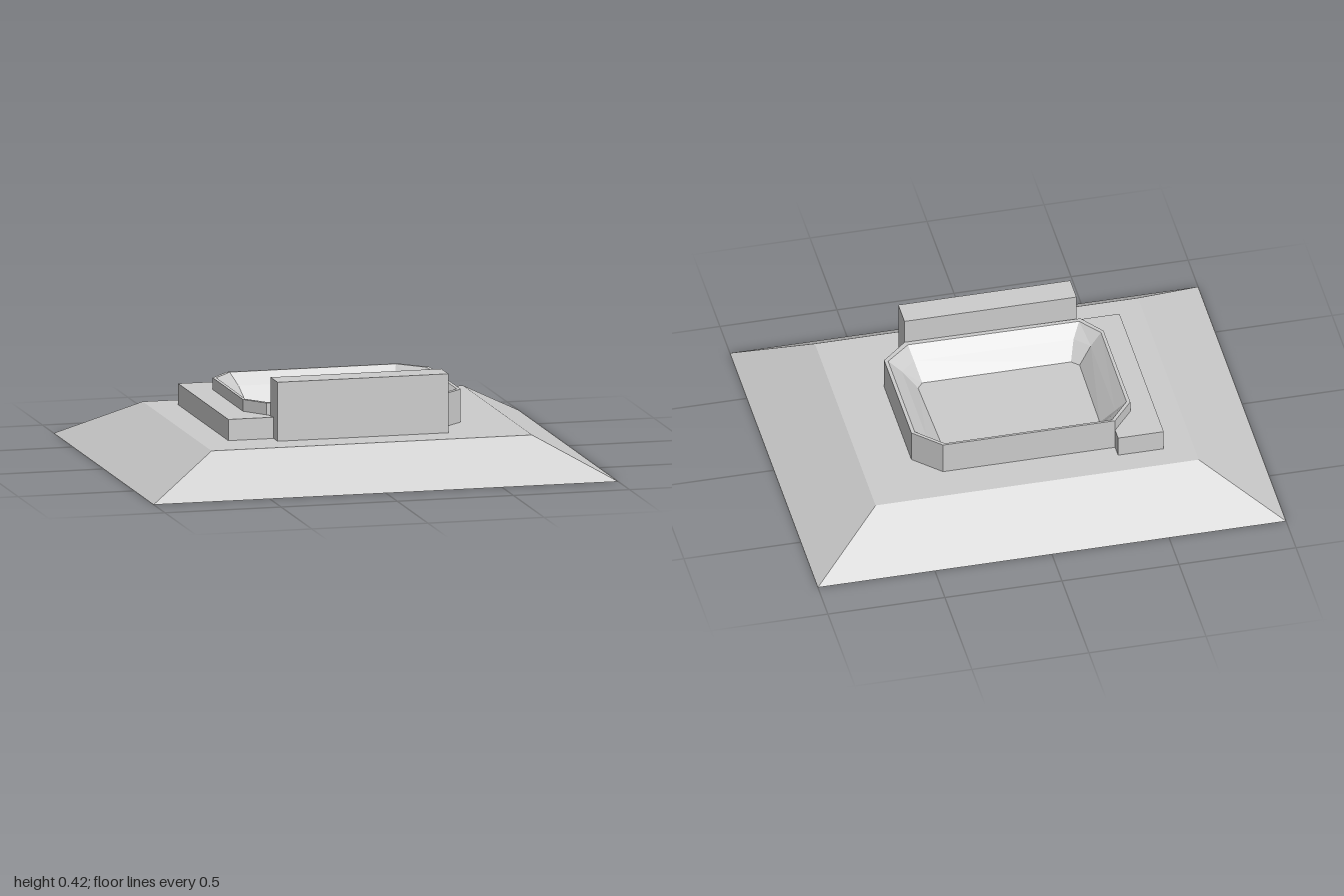
import * as THREE from 'three';

const stone = new THREE.MeshStandardMaterial({ color: 0xcccccc });
stone.name = 'pale stone';

// Joins matching [x, z] outlines (clockwise seen from above) at rising heights,
// then closes the last one with a flat fan, and the first one if asked.
function loft(name, rings, closeStart) {
  const pos = [];
  const tri = (a, b, c) => pos.push(...a, ...b, ...c);
  const loops = rings.map(([y, pts]) => pts.map(([x, z]) => [x, y, z]));
  const n = loops[0].length;
  for (let r = 0; r < loops.length - 1; r++) {
    const lo = loops[r], hi = loops[r + 1];
    for (let i = 0; i < n; i++) {
      const j = (i + 1) % n;
      tri(lo[i], hi[j], lo[j]);
      tri(lo[i], hi[i], hi[j]);
    }
  }
  const end = loops[loops.length - 1];
  for (let i = 1; i < n - 1; i++) {
    tri(end[0], end[i + 1], end[i]);
    if (closeStart) tri(loops[0][0], loops[0][i], loops[0][i + 1]);
  }
  const geo = new THREE.BufferGeometry();
  geo.setAttribute('position', new THREE.Float32BufferAttribute(pos, 3));
  geo.computeVertexNormals();
  const mesh = new THREE.Mesh(geo, stone);
  mesh.name = name;
  return mesh;
}

const rect = (x0, x1, z0, z1) => [[x0, z0], [x1, z0], [x1, z1], [x0, z1]];

export function createModel() {
  const model = new THREE.Group();
  model.name = 'basinOnMound';
  const ground = 0.17;

  // Sloping mound with a flat top
  model.add(loft('mound', [
    [0, rect(-1, 1, -0.815, 0.815)],
    [ground, rect(-0.69, 0.69, -0.54, 0.585)],
  ], true));

  // Eight-sided basin: outer wall, thin rim, two inner slopes and floor
  const outer = [[-0.46, -0.27], [-0.37, -0.38], [0.365, -0.38], [0.475, -0.27],
    [0.475, 0.235], [0.365, 0.335], [-0.385, 0.328], [-0.46, 0.225]];
  const rim = [[-0.445, -0.265], [-0.36, -0.37], [0.355, -0.37], [0.46, -0.265],
    [0.46, 0.225], [0.355, 0.315], [-0.375, 0.31], [-0.447, 0.215]];
  const ledge = [[-0.4, -0.25], [-0.335, -0.32], [0.34, -0.32], [0.405, -0.25],
    [0.405, 0.205], [0.34, 0.265], [-0.34, 0.26], [-0.4, 0.2]];
  const floor = [[-0.34, -0.225], [-0.315, -0.255], [0.315, -0.255], [0.335, -0.225],
    [0.345, 0.17], [0.32, 0.2], [-0.315, 0.2], [-0.345, 0.17]];
  model.add(loft('basin', [
    [ground, outer], [0.31, outer], [0.31, rim], [0.26, ledge], [0.19, floor],
  ], false));

  // Tall block along the front
  model.add(loft('frontBlock', [
    [ground, rect(-0.37, 0.365, 0.335, 0.45)],
    [0.42, rect(-0.37, 0.365, 0.335, 0.45)],
  ], true));

  // Low step hugging the basin's right side
  const step = new THREE.Shape([[-0.565, -0.435], [-0.37, -0.435], [-0.37, -0.375],
    [-0.455, -0.27], [-0.455, 0.225], [-0.38, 0.325], [-0.37, 0.385], [-0.565, 0.385]]
    .map(([x, z]) => new THREE.Vector2(x, -z)));
  const stepGeo = new THREE.ExtrudeGeometry(step, { depth: 0.09, bevelEnabled: false });
  stepGeo.rotateX(-Math.PI / 2);
  const sideStep = new THREE.Mesh(stepGeo, stone);
  sideStep.name = 'sideStep';
  sideStep.position.y = ground;
  model.add(sideStep);

  return model;
}
